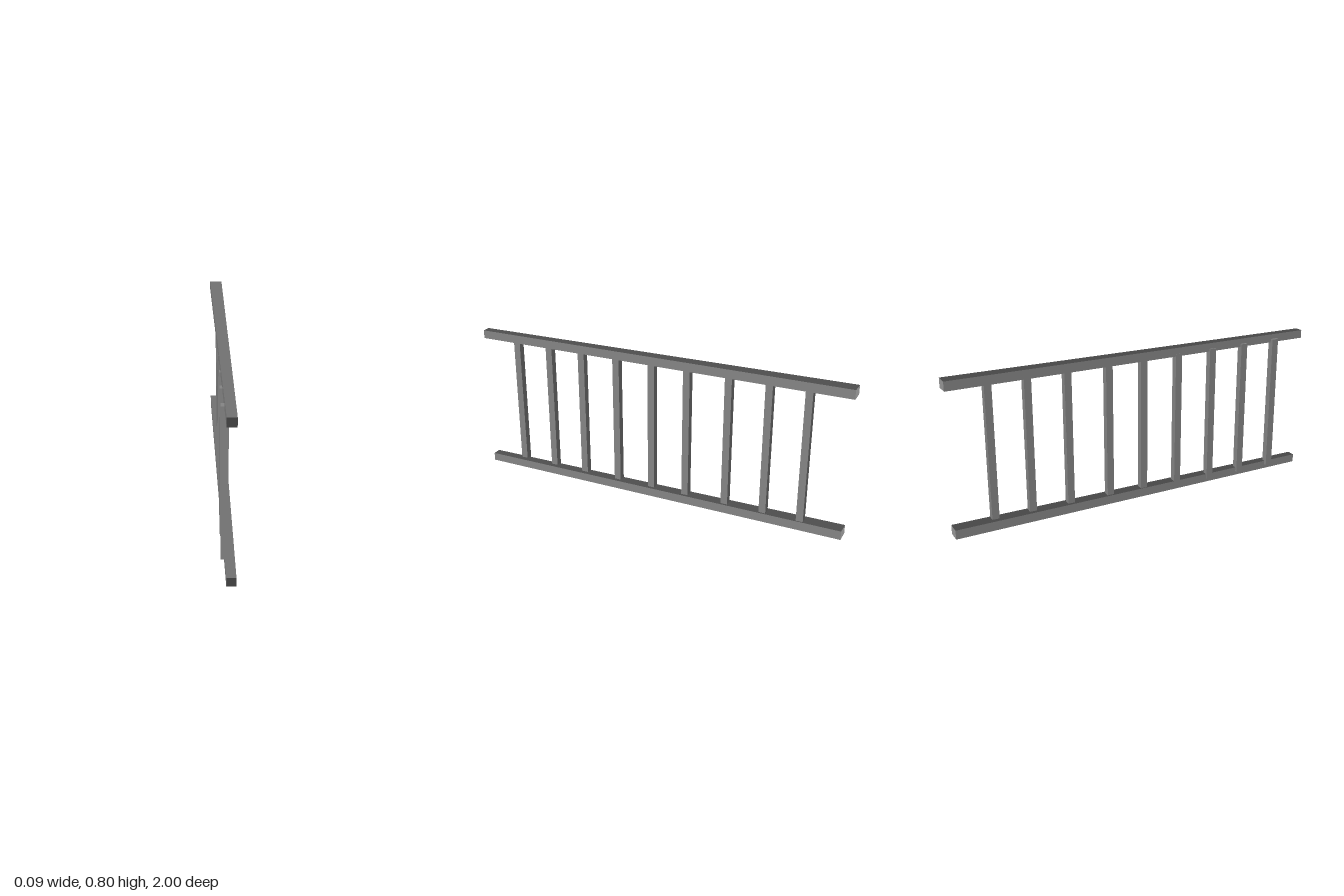
import * as THREE from 'three';

const material = new THREE.MeshStandardMaterial({ color: 0x858585 });

// End sections of a rail: x range and y range at the front and at the back
const FRONT = { x: [0.004, 0.047], y: [0, 0.043] };
const BACK = { x: [-0.047, 0.02], y: [0.02, 0.067] };

// An upright box laid down along z, its two ends moved to the rail sections;
// it keeps the shading normals of the upright box
function makeRail(name, lift) {
  const geometry = new THREE.BoxGeometry(1, 2, 1);
  const p = geometry.attributes.position;
  for (let i = 0; i < p.count; i++) {
    const z = -p.getY(i);
    const end = z > 0 ? FRONT : BACK;
    const x = end.x[p.getX(i) > 0 ? 1 : 0];
    const y = end.y[p.getZ(i) > 0 ? 1 : 0] + lift;
    p.setXYZ(i, x, y, z);
  }
  const rail = new THREE.Mesh(geometry, material);
  rail.name = name;
  return rail;
}

export function createModel() {
  const railing = new THREE.Group();
  railing.name = 'railing';

  // Handrail and bottom rail
  railing.add(makeRail('bottomRail', 0), makeRail('handrail', 0.732));

  // Upright balusters, slightly uneven in spacing
  const bottom = 0.025, top = 0.752;
  const balusterGeometry = new THREE.BoxGeometry(0.034, top - bottom, 0.036);
  const balusters = new THREE.Group();
  balusters.name = 'balusters';
  [0.813, 0.615, 0.421, 0.218, 0.019, -0.174, -0.393, -0.597, -0.79].forEach((z, i) => {
    const baluster = new THREE.Mesh(balusterGeometry, material);
    baluster.name = `baluster${i + 1}`;
    baluster.position.set(0, (bottom + top) / 2, z);
    balusters.add(baluster);
  });
  railing.add(balusters);

  return railing;
}
